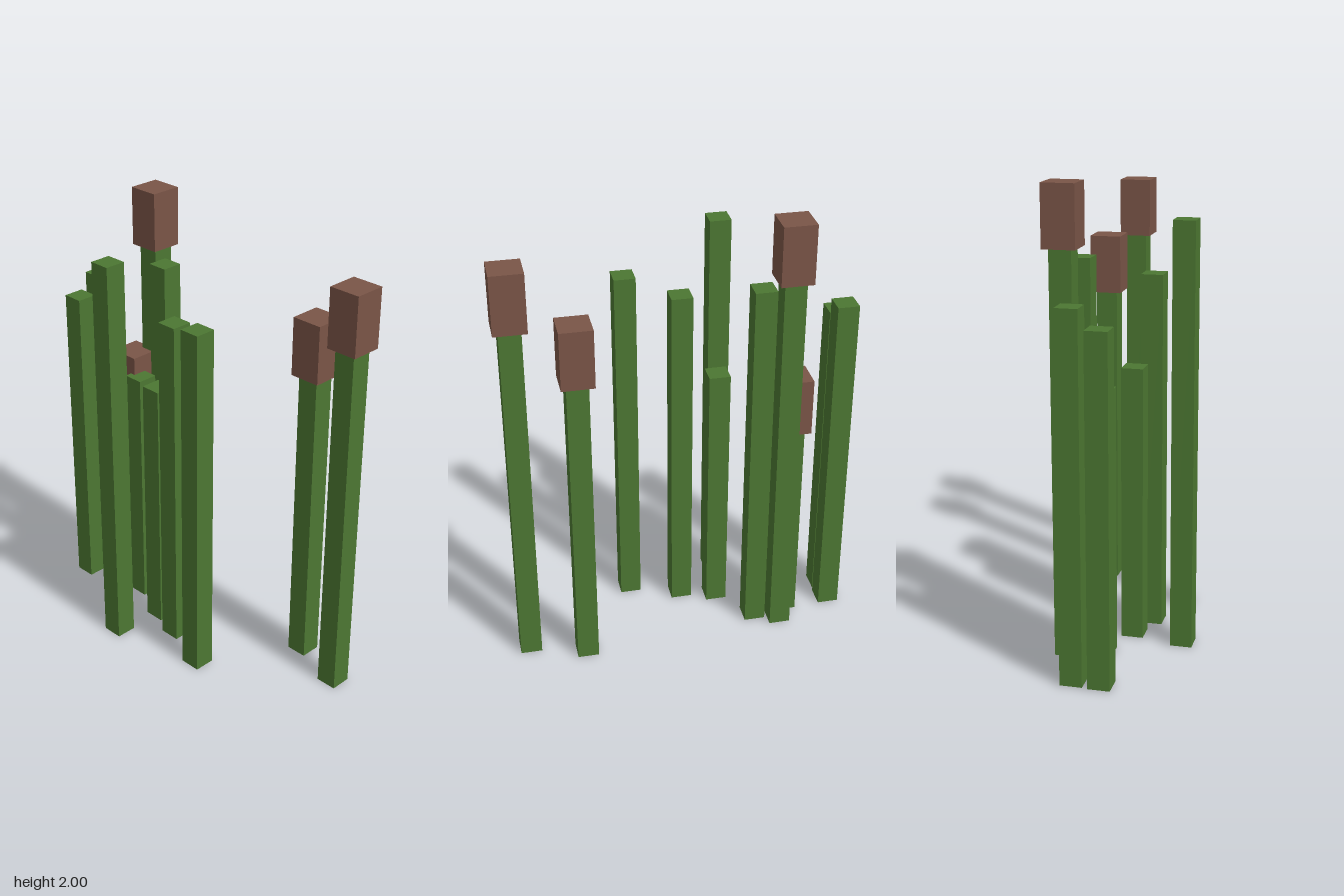
import * as THREE from 'three';

const STALK = 0.094; // stalk thickness
const HEAD = 0.14; // seed head thickness
const HEAD_HEIGHT = 0.26;

// Plain reeds: x, z, top height
const REEDS = [
  [-0.718, -0.095, 1.56],
  [-0.724, 0.023, 1.48],
  [-0.346, -0.147, 1.69],
  [-0.412, -0.05, 1.16],
  [-0.204, 0.036, 1.21],
  [-0.047, 0.085, 1.58],
  [0.181, 0.175, 1.65],
  [-0.25, 0.262, 1.84],
];

// Reeds with a brown seed head: x, z, top height
const CATTAILS = [
  [-0.505, -0.105, 1.24],
  [-0.453, -0.194, 2.0],
  [0.452, -0.243, 1.66],
  [0.7, -0.163, 1.89],
];

export function createModel() {
  const green = new THREE.MeshStandardMaterial({ color: 0x4c7732 });
  green.name = 'reedGreen';
  const brown = new THREE.MeshStandardMaterial({ color: 0x7a5547 });
  brown.name = 'seedHeadBrown';

  const model = new THREE.Group();
  model.name = 'reeds';

  // Square upright block between two heights
  function block(parent, name, material, width, bottom, top) {
    const mesh = new THREE.Mesh(new THREE.BoxGeometry(width, top - bottom, width), material);
    mesh.name = name;
    mesh.position.y = (bottom + top) / 2;
    parent.add(mesh);
  }

  function plant(name, x, z) {
    const group = new THREE.Group();
    group.name = name;
    group.position.set(x, 0, z);
    model.add(group);
    return group;
  }

  for (const [x, z, top] of REEDS) {
    block(plant('reed', x, z), 'stalk', green, STALK, 0, top);
  }

  for (const [x, z, top] of CATTAILS) {
    const cattail = plant('cattail', x, z);
    block(cattail, 'stalk', green, STALK, 0, top - HEAD_HEIGHT);
    block(cattail, 'seedHead', brown, HEAD, top - HEAD_HEIGHT, top);
  }

  return model;
}
